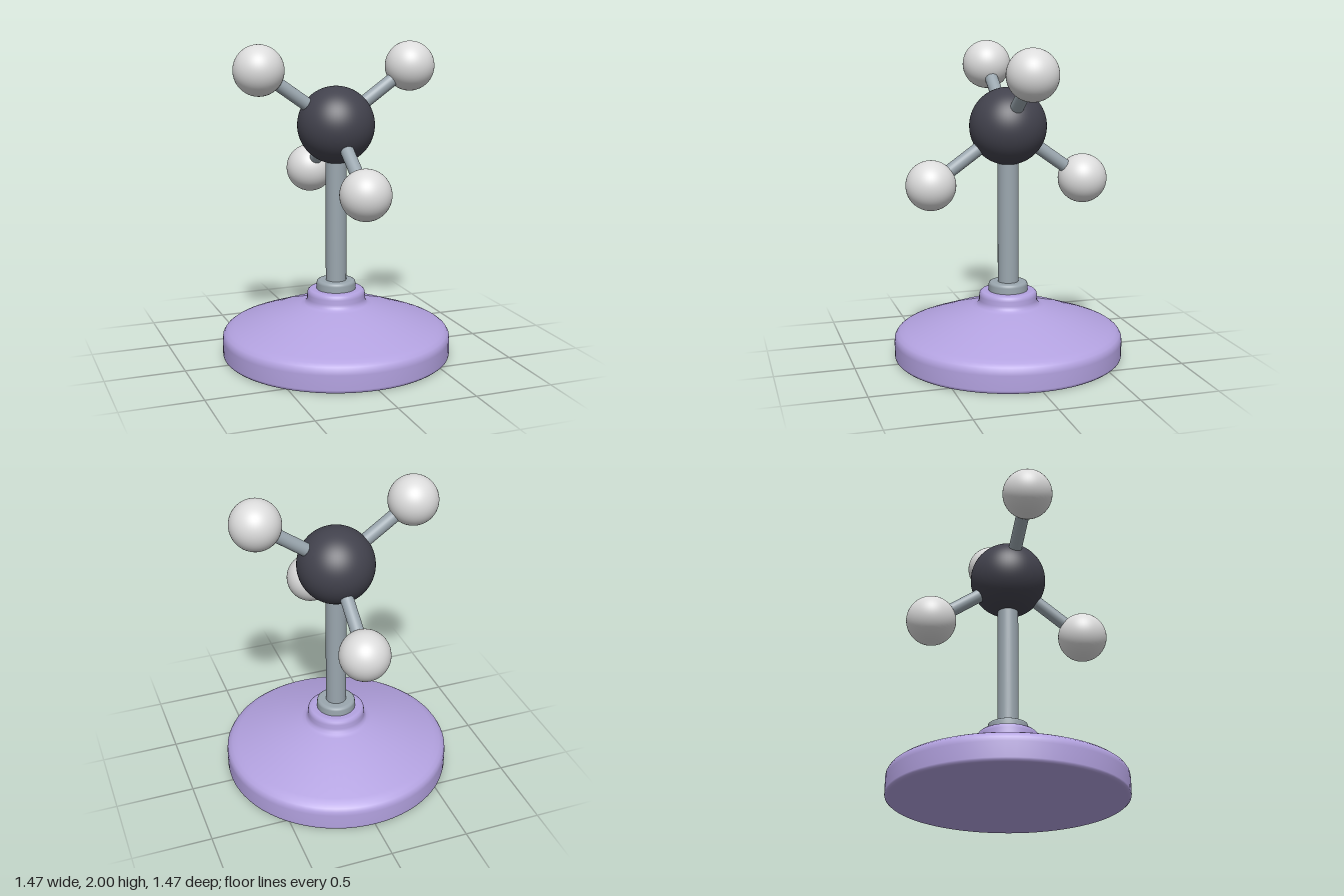
import * as THREE from 'three';

const material = (name, color) => {
  const m = new THREE.MeshStandardMaterial({ color });
  m.name = name;
  return m;
};

export function createModel() {
  const lavender = material('lavender', 0xb3a2e0);
  const steel = material('steel grey', 0x9aa6ae);
  const charcoal = material('charcoal', 0x42424d);
  const white = material('off white', 0xdcdcdc);

  const model = new THREE.Group();
  model.name = 'moleculeOnStand';

  const add = (name, geometry, mat) => {
    const mesh = new THREE.Mesh(geometry, mat);
    mesh.name = name;
    model.add(mesh);
    return mesh;
  };
  const lathe = (points) =>
    new THREE.LatheGeometry(points.map(([x, y]) => new THREE.Vector2(x, y)), 72);

  // Round base: flat foot, rim, sloping top and raised neck
  add('base', lathe([
    [0, 0], [0.71, 0], [0.722, 0.002], [0.731, 0.01], [0.733, 0.022],
    [0.733, 0.115], [0.73, 0.14], [0.718, 0.16], [0.695, 0.177], [0.66, 0.192],
    [0.42, 0.281], [0.23, 0.33], [0.205, 0.338], [0.191, 0.352], [0.186, 0.372],
    [0.186, 0.4], [0.182, 0.42], [0.17, 0.43], [0.15, 0.432], [0, 0.432],
  ]), lavender);

  // Collar holding the post
  add('collar', lathe([
    [0.125, 0.42], [0.125, 0.47], [0.122, 0.483], [0.112, 0.489], [0.1, 0.49], [0, 0.49],
  ]), steel);

  // Upright post
  const post = add('post', new THREE.CylinderGeometry(0.066, 0.066, 1.0, 40), steel);
  post.position.y = 0.95;

  // Central ball
  const centre = new THREE.Vector3(0, 1.49, 0);
  add('centralBall', new THREE.SphereGeometry(0.243, 64, 40), charcoal).position.copy(centre);

  // Four outer balls on rods: a raised pair across x, a lowered pair across z
  const outer = {
    left: [0.498, 0.353, 0], right: [-0.498, 0.353, 0],
    front: [0, -0.353, 0.498], back: [0, -0.353, -0.498],
  };
  const up = new THREE.Vector3(0, 1, 0);
  for (const [side, offset] of Object.entries(outer)) {
    const arm = new THREE.Vector3(...offset);
    const rod = add(`${side}Rod`, new THREE.CylinderGeometry(0.042, 0.042, arm.length(), 28), steel);
    rod.position.copy(centre).addScaledVector(arm, 0.5);
    rod.quaternion.setFromUnitVectors(up, arm.clone().normalize());
    add(`${side}Ball`, new THREE.SphereGeometry(0.157, 48, 32), white)
      .position.copy(centre).add(arm);
  }

  return model;
}
